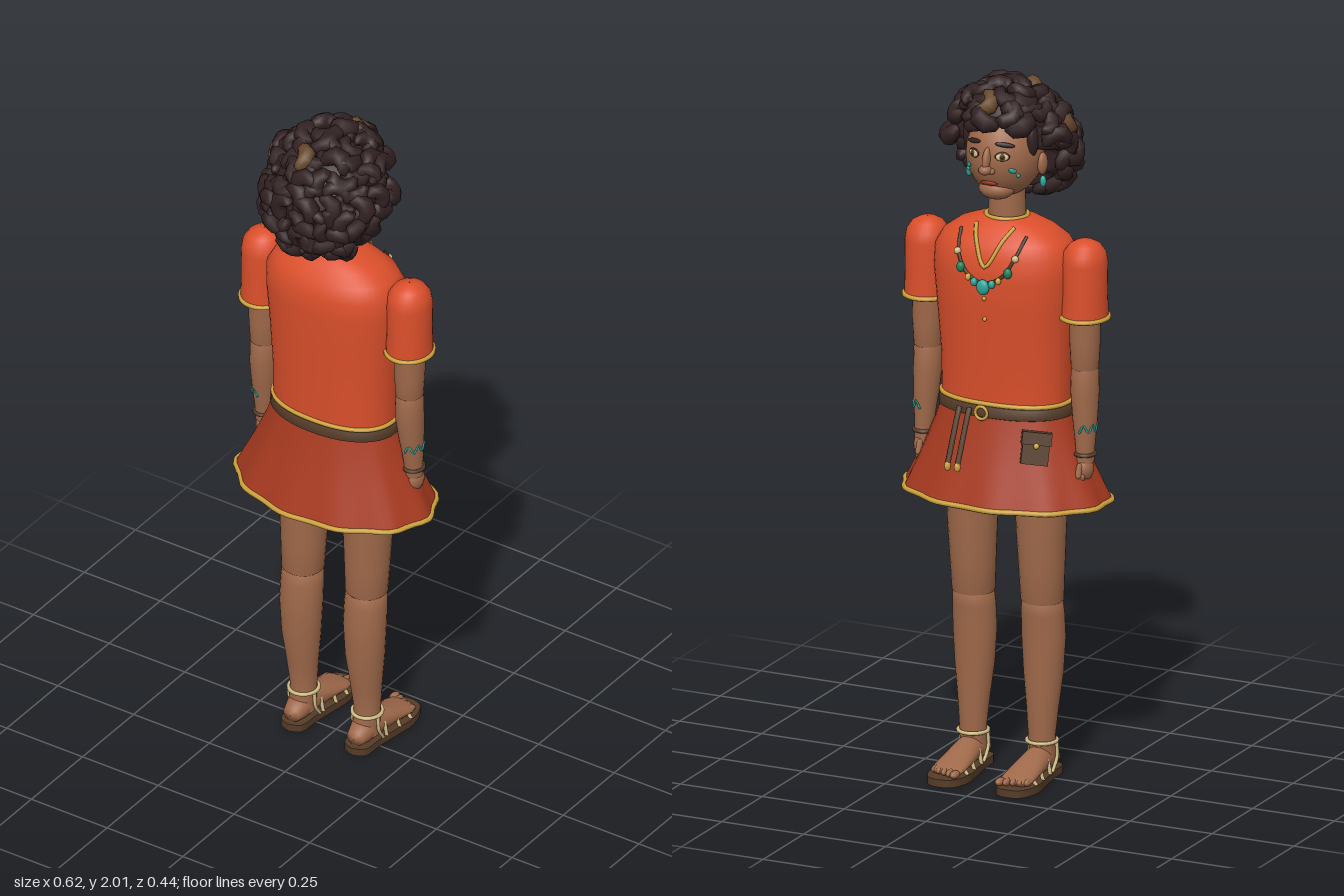
import * as THREE from 'three';

const mat = (name, color, side = THREE.FrontSide) => {
  const m = new THREE.MeshStandardMaterial({ color, side });
  m.name = name;
  return m;
};
const M = {
  tunic: mat('tunic orange', 0xdb4f2b), skirt: mat('skirt red', 0xa83a20, THREE.DoubleSide),
  skin: mat('skin brown', 0x9f694a), hair: mat('dark hair', 0x322122), lightHair: mat('light hair', 0x684a2d),
  gold: mat('gold trim', 0xd0a43c), leather: mat('leather', 0x553c28), turquoise: mat('turquoise', 0x2aa59c),
  strap: mat('pale strap', 0xd2bd86), green: mat('green bead', 0x1f8058),
};
const V = (x, y, z) => new THREE.Vector3(x, y, z);
const lerp = THREE.MathUtils.lerp;

function add(parent, name, geo, material, pos = [0, 0, 0], rot = [0, 0, 0], scale = [1, 1, 1]) {
  const mesh = new THREE.Mesh(geo, material);
  mesh.name = name;
  mesh.position.set(...pos);
  mesh.rotation.set(...rot);
  mesh.scale.set(...scale);
  parent.add(mesh);
  return mesh;
}
const unitBall = new THREE.SphereGeometry(1, 20, 14);
const ball = (p, name, m, pos, s, rot) => add(p, name, unitBall, m, pos, rot, s);
const tube = (p, name, m, pts, r, closed = false) =>
  add(p, name, new THREE.TubeGeometry(new THREE.CatmullRomCurve3(pts, closed), closed ? 64 : 24, r, 6, closed), m);

// Point on a (super)elliptical ring; ring = [y, rx, rz, cx, cz]
function ringPoint([y, rx, rz, cx = 0, cz = 0], a, p = 2, wave = 0) {
  const c = Math.cos(a), s = Math.sin(a), k = 1 + wave * Math.cos(a * 11);
  return V(cx + Math.sign(c) * Math.abs(c) ** (2 / p) * rx * k, y, cz + Math.sign(s) * Math.abs(s) ** (2 / p) * rz * k);
}
const ringLoop = (ring, p, wave, n = 44) =>
  Array.from({ length: n }, (_, j) => ringPoint(ring, j / n * Math.PI * 2, p, wave));

// Skin through rings listed from bottom to top
function loft(rings, n = 24, p = 2, wave = 0) {
  const pos = [], idx = [];
  rings.forEach((r, i) => {
    for (let j = 0; j < n; j++) pos.push(...ringPoint(r, j / n * Math.PI * 2, p, wave * (1 - i / (rings.length - 1))).toArray());
  });
  for (let i = 0; i < rings.length - 1; i++) for (let j = 0; j < n; j++) {
    const a = i * n + j, b = i * n + (j + 1) % n;
    idx.push(a, a + n, b, b, a + n, b + n);
  }
  const g = new THREE.BufferGeometry();
  g.setAttribute('position', new THREE.Float32BufferAttribute(pos, 3));
  g.setIndex(idx);
  g.computeVertexNormals();
  return g;
}

const TORSO = [[1.08, .186, .115, 0, 0], [1.2, .187, .12, 0, 0], [1.35, .197, .132, 0, -.003], [1.45, .206, .138, 0, -.003],
  [1.51, .204, .134, 0, 0], [1.55, .182, .117, 0, 0], [1.58, .14, .09, 0, 0], [1.6, .085, .067, 0, 0], [1.607, .055, .053, 0, 0]];
// Point on the chest, pushed outwards a little
function chest(x, y, out = .004) {
  let i = 0;
  while (i < TORSO.length - 2 && TORSO[i + 1][0] < y) i++;
  const t = (y - TORSO[i][0]) / (TORSO[i + 1][0] - TORSO[i][0]);
  const [rx, rz, cz] = [1, 2, 4].map(k => lerp(TORSO[i][k], TORSO[i + 1][k], t));
  const q = Math.min(1, Math.abs(x / rx)) ** 2.3;
  return V(x, y, cz - rz * (1 - q) ** (1 / 2.3) - out);
}

function buildClothes(g) {
  add(g, 'tunic', loft(TORSO, 48, 2.3), M.tunic);
  const skirt = [[.81, .3, .197], [.86, .276, .181], [.92, .247, .16], [1, .212, .134], [1.07, .188, .115]];
  add(g, 'skirt', loft(skirt, 66, 2, .02), M.skirt);
  tube(g, 'skirtHem', M.gold, ringLoop(skirt[0], 2, .02, 66), .008, true);
  ball(g, 'shorts', M.skirt, [0, .95, 0], [.18, .12, .105]);
  add(g, 'belt', loft([[1.05, .19, .12], [1.053, .197, .126], [1.08, .196, .125], [1.083, .186, .115]], 44, 2.15), M.leather);
  tube(g, 'waistTrim', M.gold, ringLoop([1.089, .187, .117], 2.3, 0), .007, true);
  tube(g, 'collarTrim', M.gold, ringLoop([1.605, .058, .055], 2, 0), .007, true);
  tube(g, 'neckline', M.gold, [chest(-.058, 1.592), chest(-.04, 1.56), chest(0, 1.49), chest(.04, 1.56), chest(.058, 1.592)], .006);
  for (const y of [1.4, 1.34]) ball(g, 'button', M.gold, chest(0, y).toArray(), [.006, .006, .005]);

  // Cord with beads and a central pendant
  const cord = [[-.1, 1.575], [-.085, 1.52], [-.055, 1.47], [0, 1.445], [.055, 1.47], [.085, 1.52], [.1, 1.575]];
  tube(g, 'necklaceCord', M.leather, cord.map(([x, y]) => chest(x, y, .006)), .005);
  ball(g, 'pendant', M.turquoise, chest(0, 1.435, .01).toArray(), [.019, .022, .012]);
  for (const s of [-1, 1]) {
    ball(g, 'greenBead', M.green, chest(s * .072, 1.482, .01).toArray(), [.012, .015, .011]);
    ball(g, 'turquoiseBead', M.turquoise, chest(s * .027, 1.447, .01).toArray(), [.01, .012, .01]);
    ball(g, 'goldBead', M.gold, chest(s * .046, 1.458, .01).toArray(), [.008, .01, .009]);
    ball(g, 'paleBead', M.strap, chest(s * .088, 1.522, .008).toArray(), [.01, .01, .01]);
  }

  // Belt buckle, hanging laces and pouch
  add(g, 'buckle', new THREE.TorusGeometry(.018, .005, 6, 16), M.gold, [.015, 1.066, -.13]);
  for (const x of [.052, .082]) {
    tube(g, 'beltLace', M.leather, [V(x, 1.075, -.128), V(x, 1.05, -.142), V(x + .004, .93, -.192)], .0085);
    ball(g, 'laceTip', M.gold, [x + .004, .922, -.194], [.009, .014, .009]);
  }
  const pouch = new THREE.Group();
  pouch.name = 'pouch';
  pouch.position.set(-.15, .985, -.128);
  pouch.rotation.set(.25, .5, 0);
  add(pouch, 'pouchBody', new THREE.BoxGeometry(.075, .085, .045), M.leather);
  add(pouch, 'pouchFlap', new THREE.BoxGeometry(.082, .035, .052), M.leather, [0, .03, -.002]);
  ball(pouch, 'pouchClasp', M.gold, [0, .01, -.03], [.008, .008, .005]);
  g.add(pouch);
}

function buildArm(g, s) {
  const arm = new THREE.Group();
  arm.name = s > 0 ? 'leftArm' : 'rightArm';
  arm.position.set(s * .24, 0, -.004);
  add(arm, 'sleeve', loft([[1.345, .064, .069], [1.42, .062, .066], [1.5, .063, .067], [1.53, .058, .061],
    [1.552, .043, .045], [1.563, .022, .023], [1.566, .001, .001]], 28), M.tunic);
  tube(arm, 'sleeveHem', M.gold, ringLoop([1.345, .064, .069], 2, 0, 24), .007, true);
  add(arm, 'sleeveUnderside', new THREE.CircleGeometry(.064, 24), M.tunic, [0, 1.345, 0], [Math.PI / 2, 0, 0]);
  add(arm, 'upperArm', loft([[1.19, .03, .03], [1.2, .038, .041], [1.27, .042, .045], [1.36, .043, .047]]), M.skin);
  add(arm, 'forearm', loft([[.93, .025, .027, .006 * s, -.012], [.97, .026, .028, .006 * s, -.01], [1.05, .034, .037, .003 * s, -.005],
    [1.13, .039, .044], [1.19, .038, .041], [1.21, .028, .03]]), M.skin);
  tube(arm, 'bracelet', M.leather, ringLoop([.955, .027, .029, .006 * s, -.011], 2, 0, 16), .006, true);
  // Painted zigzag round the forearm
  const zigzag = Array.from({ length: 9 }, (_, i) =>
    ringPoint([1.02 + (i % 2) * .022, .0325, .0355, .004 * s, -.007], (s > 0 ? 0 : Math.PI) + (i - 4) * .4));
  tube(arm, 'armPaint', M.turquoise, zigzag, .003);
  // Relaxed hand with curled fingers
  ball(arm, 'palm', M.skin, [s * .008, .912, -.016], [.023, .034, .031]);
  for (let i = 0; i < 4; i++)
    add(arm, 'finger', new THREE.CapsuleGeometry(.009, .025, 4, 8), M.skin, [s * .008, .885, -.04 + i * .015], [0, 0, -s * .25]);
  add(arm, 'thumb', new THREE.CapsuleGeometry(.009, .026, 4, 8), M.skin, [s * .004, .912, -.046], [.35, 0, 0]);
  g.add(arm);
}

function buildLeg(g, s) {
  const leg = new THREE.Group();
  leg.name = s > 0 ? 'leftLeg' : 'rightLeg';
  leg.position.x = s * .105;
  add(leg, 'thigh', loft([[.495, .045, .045, 0, .006], [.51, .06, .059, 0, .006], [.6, .064, .064, 0, .003], [.7, .069, .069], [.82, .074, .073], [.95, .076, .075]]), M.skin);
  add(leg, 'shin', loft([[.04, .038, .04, 0, .01], [.12, .038, .037, 0, .003], [.2, .045, .044, 0, .008], [.3, .056, .054, 0, .014],
    [.4, .062, .057, 0, .015], [.47, .061, .057, 0, .01], [.505, .058, .057, 0, .006], [.525, .04, .04, 0, .006]]), M.skin);
  // Foot is lofted heel to toe, then laid flat
  add(leg, 'foot', loft([[-.07, .001, .001, 0, .045], [-.064, .026, .022, 0, .045], [-.03, .036, .038, 0, .055], [.03, .038, .039, 0, .055],
    [.09, .045, .026, 0, .045], [.14, .048, .017, 0, .036], [.17, .044, .012, 0, .032], [.18, .001, .001, 0, .032]])
    .rotateX(-Math.PI / 2), M.skin);
  for (let i = 0; i < 5; i++)
    ball(leg, 'toe', M.skin, [s * (-.036 + i * .018), .033, -.183 + i * .007], [i ? .009 : .012, .011, .02]);
  const outline = new THREE.Shape();
  outline.moveTo(0, -.08);
  outline.splineThru([[.035, -.062], [.04, 0], [.05, .07], [.058, .14], [.04, .198], [0, .213], [-.04, .198],
    [-.058, .14], [-.05, .07], [-.04, 0], [-.035, -.062], [0, -.08]].map(([x, y]) => new THREE.Vector2(x, y)));
  add(leg, 'sole', new THREE.ExtrudeGeometry(outline, { depth: .022, bevelEnabled: false, curveSegments: 3 }).rotateX(-Math.PI / 2), M.leather);
  // Sandal straps
  tube(leg, 'ankleStrap', M.strap, ringLoop([.105, .041, .042, 0, .003], 2, 0, 16), .006, true);
  for (const [z, w, h] of [[-.03, .042, .082], [-.085, .048, .056], [-.135, .052, .038]])
    tube(leg, 'footStrap', M.strap, [0, .25, .5, .75, 1].map(t =>
      V(-Math.cos(t * Math.PI) * w, .02 + Math.sin(t * Math.PI) * (h - .015), z)), .0055);
  for (const k of [-1, 1])
    tube(leg, 'sideStrap', M.strap, [V(k * .041, .105, .012), V(k * .043, .06, .01), V(k * .041, .022, -.015)], .005);
  g.add(leg);
}

const HEAD = { c: V(0, 1.79, -.012), r: V(.107, .125, .115) };
// Thin oval laid on the face
function facePlate(g, name, m, x, y, w, h, tilt = 0, lift = 0) {
  const dx = x / HEAD.r.x, dy = (y - HEAD.c.y) / HEAD.r.y, dz = -Math.sqrt(1 - dx * dx - dy * dy);
  const n = V(dx / HEAD.r.x, dy / HEAD.r.y, dz / HEAD.r.z).normalize();
  const mesh = ball(g, name, m, [x + n.x * lift, y + n.y * lift, HEAD.c.z + dz * HEAD.r.z + n.z * lift], [w, h, .0045]);
  mesh.lookAt(mesh.position.clone().add(n));
  mesh.rotateZ(tilt);
}
function buildHead(g) {
  add(g, 'neck', new THREE.CylinderGeometry(.049, .053, .14, 24), M.skin, [0, 1.645, .002]);
  ball(g, 'head', M.skin, HEAD.c.toArray(), HEAD.r.toArray());
  ball(g, 'chin', M.skin, [0, 1.698, -.062], [.052, .032, .047]);
  ball(g, 'noseBridge', M.skin, [0, 1.796, -.127], [.011, .035, .016], [.3, 0, 0]);
  ball(g, 'noseTip', M.skin, [0, 1.768, -.136], [.018, .014, .018]);
  facePlate(g, 'lips', M.skirt, 0, 1.725, .027, .007, 0, .002);
  for (const s of [-1, 1]) {
    ball(g, 'nostril', M.skin, [s * .015, 1.764, -.128], [.01, .009, .011]);
    facePlate(g, 'eyeLine', M.hair, s * .043, 1.807, .021, .013);
    facePlate(g, 'eyeWhite', M.strap, s * .043, 1.806, .018, .01, 0, .002);
    facePlate(g, 'iris', M.lightHair, s * .043, 1.806, .0095, .0095, 0, .0035);
    facePlate(g, 'pupil', M.hair, s * .043, 1.806, .005, .005, 0, .006);
    facePlate(g, 'eyebrow', M.hair, s * .046, 1.838, .028, .007, s * .15, .002);
    facePlate(g, 'cheekPaint', M.turquoise, s * .066, 1.765, .012, .007, s * .4, .001);
    facePlate(g, 'cheekDot', M.turquoise, s * .076, 1.748, .006, .006, 0, .001);
    ball(g, 'ear', M.skin, [s * .11, 1.765, -.003], [.013, .032, .02]);
    ball(g, 'earring', M.turquoise, [s * .113, 1.715, -.006], [.009, .016, .009]);
    ball(g, 'sideburn', M.hair, [s * .098, 1.84, -.038], [.015, .045, .022]);
  }
}

function buildHair(g) {
  const hair = new THREE.Group();
  hair.name = 'hair';
  const C = V(0, 1.815, .042);
  const faceLimit = y => (y > 1.895 ? -1 : y > 1.81 ? -.035 : y > 1.73 ? .025 : .05);
  // Crown leans forward over the brow
  const onHair = (n, k) => V(n.x * .167 * k, C.y + n.y * .158 * k, C.z + n.z * .148 * k - n.y * .158 * k * .3);
  const scalp = new THREE.SphereGeometry(1, 32, 32), p = scalp.attributes.position;
  for (let i = 0; i < p.count; i++) {
    const v = onHair(V(p.getX(i), p.getY(i), p.getZ(i)), .94);
    p.setXYZ(i, v.x, v.y, Math.max(v.z, faceLimit(v.y)));
  }
  scalp.computeVertexNormals();
  add(hair, 'scalp', scalp, M.hair);

  // One fat curl: a tapered roll bent into an arc
  const curl = loft([[0, .002], [.05, .014], [.2, .021], [.4, .024], [.6, .024], [.8, .02], [.95, .013], [1, .002]]
    .map(([y, r]) => [y, r, r]), 8);
  const q = curl.attributes.position;
  for (let i = 0; i < q.count; i++) {
    const a = q.getY(i) * 4, r = .025 + q.getX(i);
    q.setXYZ(i, Math.cos(a) * r, Math.sin(a) * r, q.getZ(i));
  }
  curl.computeVertexNormals();
  let seed = 7;
  const rand = () => (seed = (seed * 16807) % 2147483647) / 2147483647;
  const placeCurl = (n, k, m) => {
    const mesh = add(hair, 'curl', curl, m, onHair(n, k).toArray());
    mesh.quaternion.setFromUnitVectors(V(0, 0, 1), n);
    mesh.rotateZ(rand() * 6.28);
    mesh.rotateX((rand() - .5) * .9);
    mesh.scale.setScalar(.85 + rand() * .3);
  };
  const N = 190;
  for (let i = 0; i < N; i++) {
    const y = 1 - 2 * (i + .5) / N, r = Math.sqrt(1 - y * y), a = i * 2.39996;
    const n = V(r * Math.cos(a), y, r * Math.sin(a)), at = onHair(n, 1);
    if (at.z > faceLimit(at.y) + .012) placeCurl(n, .97 + rand() * .08, M.hair);
  }
  for (const [x, y, z] of [[.15, .8, -.6], [-.88, .42, .15], [-.24, .72, .68]]) placeCurl(V(x, y, z).normalize(), 1.07, M.lightHair);
  g.add(hair);
}

export function createModel() {
  const g = new THREE.Group();
  g.name = 'figure';
  buildClothes(g);
  for (const s of [-1, 1]) {
    buildArm(g, s);
    buildLeg(g, s);
  }
  buildHead(g);
  buildHair(g);
  return g;
}
